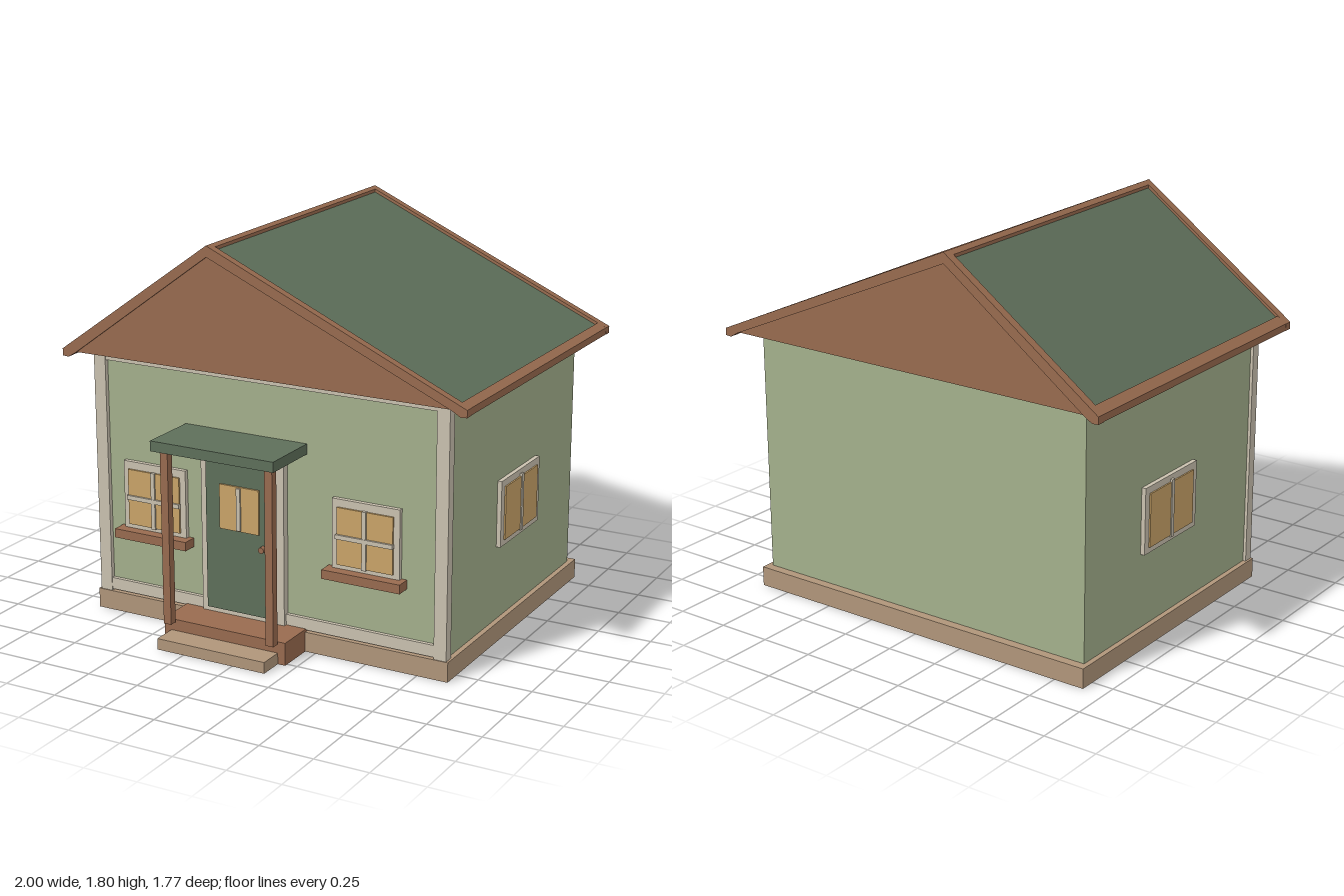
import * as THREE from 'three';

const mat = (name, color) => new THREE.MeshStandardMaterial({ name, color });

export function createModel() {
  const house = new THREE.Group();
  house.name = 'house';
  const wall = mat('sage wall', 0xa4b08c);
  const trim = mat('pale trim', 0xcac1af);
  const stone = mat('tan foundation', 0xb0957a);
  const wood = mat('brown wood', 0x986b4f);
  const green = mat('dark green', 0x5e6f5a);
  const glass = mat('amber glass', 0xcaa468);

  const add = (name, geometry, material, parent = house) => {
    const mesh = new THREE.Mesh(geometry, material);
    mesh.name = name;
    parent.add(mesh);
    return mesh;
  };
  // Box given by its limits on each axis
  const box = (name, m, x0, x1, y0, y1, z0, z1, parent) => {
    const g = new THREE.BoxGeometry(x1 - x0, y1 - y0, z1 - z0);
    g.translate((x0 + x1) / 2, (y0 + y1) / 2, (z0 + z1) / 2);
    return add(name, g, m, parent);
  };
  // Profile in x and y, extruded from z0 to z1
  const prism = (name, m, points, z0, z1, parent) => {
    const shape = new THREE.Shape(points.map(([x, y]) => new THREE.Vector2(x, y)));
    const g = new THREE.ExtrudeGeometry(shape, { depth: z1 - z0, bevelEnabled: false });
    g.translate(0, 0, z0);
    return add(name, g, m, parent);
  };

  // Body
  box('foundation', stone, -0.897, 0.897, 0, 0.092, -0.822, 0.59);
  box('walls', wall, -0.873, 0.873, 0.092, 1.24, -0.78, 0.565);

  // Front trim boards
  for (const s of [-1, 1]) {
    const x = s * 0.857;
    box('cornerTrim', trim, x - 0.03, x + 0.03, 0.092, 1.24, 0.54, 0.586);
  }
  box('topTrim', trim, -0.83, 0.83, 1.2, 1.24, 0.56, 0.583);
  box('bottomTrim', trim, -0.83, 0.83, 0.1, 0.155, 0.56, 0.583);

  // Roof with an off-centre ridge
  const roof = new THREE.Group();
  roof.name = 'roof';
  house.add(roof);
  const rx = -0.235, front = 0.665, back = -0.885;
  prism('roofPanels', green,
    [[-0.97, 1.24], [0.97, 1.24], [0.97, 1.248], [rx, 1.785], [-0.97, 1.257]],
    back + 0.03, front - 0.03, roof);
  const gable = [[-0.95, 1.24], [0.95, 1.24], [rx, 1.77]];
  prism('frontGable', wood, gable, front - 0.03, front - 0.008, roof);
  prism('backGable', wood, gable, back + 0.008, back + 0.03, roof);
  for (const s of [-1, 1]) {
    // Boards follow the slope from the ridge to the eave
    const slope = 0.55 / Math.abs(s - rx);
    const inner = [s * 0.958, 1.25 + 0.042 * slope];
    const rake = [[rx, 1.8], [rx, 1.75], [s * 0.935, 1.236], [s * 0.97, 1.215], [s, 1.217], [s, 1.25]];
    prism('frontRakeBoard', wood, rake, front - 0.04, front, roof);
    prism('backRakeBoard', wood, rake, back, back + 0.04, roof);
    prism('eaveBoard', wood,
      [inner, [s * 0.945, 1.236], [s * 0.97, 1.216], [s * 0.999, 1.218], [s * 0.999, 1.25]],
      back + 0.015, front - 0.015, roof);
  }
  prism('ridgeBoard', wood,
    [[rx - 0.022, 1.765], [rx + 0.022, 1.765], [rx + 0.022, 1.79], [rx, 1.8], [rx - 0.022, 1.784]],
    back + 0.015, front - 0.015, roof);

  // Front windows with sills
  for (const x of [-0.578, 0.496]) {
    const w = new THREE.Group();
    w.name = 'frontWindow';
    house.add(w);
    box('windowFrame', trim, x - 0.164, x + 0.164, 0.422, 0.74, 0.56, 0.586, w);
    box('windowGlass', glass, x - 0.136, x + 0.136, 0.443, 0.705, 0.588, 0.597, w);
    box('uprightMuntin', trim, x - 0.01, x + 0.01, 0.44, 0.708, 0.59, 0.605, w);
    box('crossMuntin', trim, x - 0.139, x + 0.139, 0.563, 0.583, 0.59, 0.607, w);
    box('windowSill', wood, x - 0.19, x + 0.19, 0.38, 0.422, 0.56, 0.635, w);
  }

  // Side windows
  for (const s of [-1, 1]) {
    const w = new THREE.Group();
    w.name = s > 0 ? 'leftWindow' : 'rightWindow';
    house.add(w);
    const plate = (name, m, depth, y0, y1, z0, z1) => {
      const x = s * 0.865, o = s * depth;
      box(name, m, Math.min(x, o), Math.max(x, o), y0, y1, z0, z1, w);
    };
    plate('sideFrame', trim, 0.893, 0.44, 0.748, -0.354, 0.06);
    plate('sideGlass', glass, 0.9, 0.467, 0.716, -0.322, 0.026);
    plate('sideMullion', trim, 0.905, 0.46, 0.728, -0.158, -0.138);
  }

  // Door
  const door = new THREE.Group();
  door.name = 'door';
  house.add(door);
  box('doorFrame', trim, -0.322, 0.1, 0.1, 0.9, 0.56, 0.6, door);
  box('doorPanel', green, -0.285, 0.06, 0.132, 0.84, 0.59, 0.62, door);
  box('doorGlass', glass, -0.21, -0.01, 0.52, 0.727, 0.62, 0.629, door);
  box('doorMullion', trim, -0.12, -0.1, 0.525, 0.722, 0.62, 0.637, door);
  const knob = new THREE.CylinderGeometry(0.014, 0.014, 0.026, 12);
  knob.rotateX(Math.PI / 2);
  add('doorKnob', knob, wood, door).position.set(0.009, 0.458, 0.632);

  // Porch
  const porch = new THREE.Group();
  porch.name = 'porch';
  house.add(porch);
  box('porchDeck', wood, -0.42, 0.2, 0, 0.105, 0.56, 0.768, porch);
  box('porchStep', stone, -0.385, 0.163, 0, 0.052, 0.76, 0.885, porch);
  for (const x of [-0.372, 0.152]) {
    box('porchPost', wood, x - 0.019, x + 0.019, 0.1, 0.912, 0.783, 0.82, porch);
  }
  box('porchCanopy', green, -0.418, 0.198, 0.91, 0.957, 0.56, 0.855, porch);
  return house;
}
